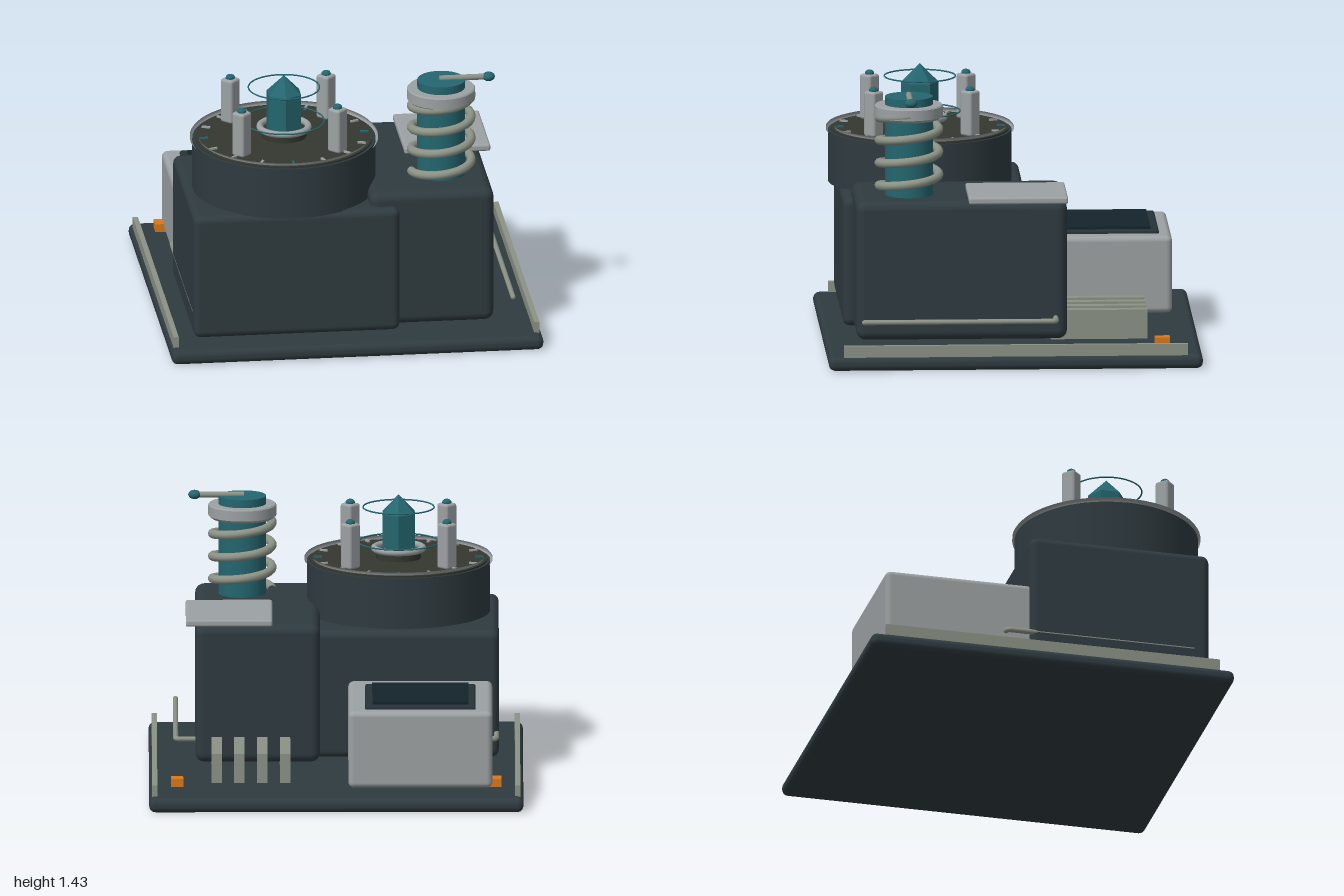
import * as THREE from 'three';
import { RoundedBoxGeometry } from 'three/addons/geometries/RoundedBoxGeometry.js';

const mat = (color, flatShading = false) => new THREE.MeshStandardMaterial({ color, flatShading });
const DARK = mat(0x2f3b40), OLIVE = mat(0x33382f), GREY = mat(0x9ca1a3), STEEL = mat(0x8b9285),
  TEAL = mat(0x24666f), CRYSTAL = mat(0x24666f, true), FRAME = mat(0x263238), SCREEN = mat(0x14242b), ORANGE = mat(0xd9781c);

function add(parent, name, geometry, material, x = 0, y = 0, z = 0) {
  const mesh = new THREE.Mesh(geometry, material);
  mesh.name = name;
  mesh.position.set(x, y, z);
  parent.add(mesh);
  return mesh;
}

// Box given by its limits on each axis, rounded when r > 0
function box(parent, name, material, [x0, x1], [y0, y1], [z0, z1], r = 0) {
  const size = [x1 - x0, y1 - y0, z1 - z0];
  const geometry = r ? new RoundedBoxGeometry(...size, 3, r) : new THREE.BoxGeometry(...size);
  return add(parent, name, geometry, material, (x0 + x1) / 2, (y0 + y1) / 2, (z0 + z1) / 2);
}

const lathe = (pts, n = 64) => new THREE.LatheGeometry(pts.map(p => new THREE.Vector2(...p)), n);
const ring = (r, t) => new THREE.TorusGeometry(r, t, 10, 64).rotateX(Math.PI / 2);

class Helix extends THREE.Curve {
  getPoint(t, target = new THREE.Vector3()) {
    const a = Math.PI + t * 3.5 * Math.PI * 2;
    return target.set(0.16 * Math.cos(a), 0.89 + 0.43 * t, -0.16 * Math.sin(a));
  }
}

// Drum with dial, posts and crystal, centred on its own axis
function createDrum() {
  const g = new THREE.Group();
  g.name = 'drum';
  add(g, 'drumWall', new THREE.CylinderGeometry(0.49, 0.49, 0.28, 64), DARK, 0, 0.935);
  add(g, 'dialPlate', new THREE.CylinderGeometry(0.475, 0.475, 0.02, 64), OLIVE, 0, 1.075);
  add(g, 'drumRim', lathe([[0.455, 1.07], [0.458, 1.09], [0.468, 1.102], [0.48, 1.106], [0.493, 1.102],
    [0.503, 1.09], [0.503, 1.075], [0.49, 1.062]]), GREY);

  // Dial ticks, coloured at the quarters
  for (let i = 0; i < 16; i++) {
    const a = i * Math.PI / 8, main = i % 4 === 0;
    const tick = add(g, 'dialTick', new THREE.BoxGeometry(0.012, 0.014, 0.045), main ? TEAL : GREY,
      0.432 * Math.sin(a), 1.088, 0.432 * Math.cos(a));
    tick.rotation.y = a;
  }

  // Corner posts with ball tips
  for (const sx of [-1, 1]) for (const sz of [-1, 1]) {
    const post = add(g, 'post', new RoundedBoxGeometry(0.08, 0.245, 0.08, 2, 0.014), GREY, sx * 0.258, 1.205, sz * 0.258);
    post.rotation.y = Math.PI / 4;
    const tip = add(g, 'postTip', new THREE.SphereGeometry(0.025, 16, 12), TEAL, sx * 0.258, 1.332, sz * 0.258);
    tip.scale.y = 0.75;
  }

  // Crystal in its socket with hoops around it
  add(g, 'crystalSocket', new THREE.CylinderGeometry(0.12, 0.12, 0.035, 48), OLIVE, 0, 1.1);
  add(g, 'socketRing', ring(0.13, 0.018), GREY, 0, 1.138);
  add(g, 'crystalBody', new THREE.CylinderGeometry(0.1, 0.1, 0.25, 6), CRYSTAL, 0, 1.205);
  add(g, 'crystalPoint', new THREE.ConeGeometry(0.1, 0.1, 6), CRYSTAL, 0, 1.38);
  add(g, 'lowerHoop', ring(0.215, 0.004), TEAL, 0, 1.172);
  add(g, 'upperHoop', ring(0.19, 0.004), TEAL, 0, 1.362);
  g.position.set(-0.335, 0, 0.457);
  return g;
}

// Coil column with collar and lever
function createCoilColumn() {
  const g = new THREE.Group();
  g.name = 'coilColumn';
  add(g, 'column', new THREE.CylinderGeometry(0.128, 0.128, 0.55, 48), TEAL, 0, 1.13);
  add(g, 'coil', new THREE.TubeGeometry(new Helix(), 220, 0.024, 10), STEEL);
  add(g, 'collar', lathe([[0.125, 1.285], [0.165, 1.285], [0.165, 1.285], [0.182, 1.3], [0.182, 1.3],
    [0.182, 1.355], [0.182, 1.355], [0.176, 1.362], [0.176, 1.362], [0.125, 1.362]]), GREY);
  const rod = add(g, 'leverRod', new THREE.CylinderGeometry(0.016, 0.016, 0.26, 16), STEEL, 0.12, 1.41);
  rod.rotation.z = Math.PI / 2;
  add(g, 'leverKnob', new THREE.SphereGeometry(0.034, 20, 14), TEAL, 0.255, 1.41).scale.y = 0.72;
  g.position.set(0.5, 0, 0.552);
  return g;
}

export function createModel() {
  const model = new THREE.Group();
  model.name = 'machine';

  // Base and main housings
  box(model, 'basePlate', DARK, [-1, 1], [0, 0.077], [-1, 1], 0.034);
  box(model, 'mainHousing', DARK, [-0.87, 0.24], [0.107, 0.8], [-0.093, 0.893], 0.04);
  box(model, 'sideHousing', DARK, [0.085, 0.752], [0.12, 0.872], [-0.285, 0.842], 0.05);
  box(model, 'coverPlate', GREY, [0.34, 0.803], [0.865, 0.903], [-0.287, 0.243], 0.012);

  // Console with screen
  box(model, 'consoleBody', GREY, [-0.835, -0.065], [0.11, 0.528], [-0.882, -0.05], 0.03);
  box(model, 'screenFrame', FRAME, [-0.745, -0.155], [0.5, 0.546], [-0.815, -0.235], 0.012);
  box(model, 'screen', SCREEN, [-0.707, -0.193], [0.53, 0.56], [-0.77, -0.28]);

  // Cooling fins
  for (let i = 0; i < 4; i++) {
    const x = 0.273 + i * 0.122;
    box(model, 'coolingFin', STEEL, [x - 0.028, x + 0.028], [0.107, 0.265], [-0.718, -0.2]);
  }

  // Mirrored rails, lamps and pipes
  for (const s of [-1, 1]) {
    add(model, 'sideRail', new THREE.BoxGeometry(0.028, 0.062, 1.84), STEEL, s * 0.97, 0.104, 0);
    add(model, 'lamp', new THREE.BoxGeometry(0.065, 0.044, 0.08), ORANGE, s * 0.85, 0.13, -0.788);
    const path = new THREE.CurvePath();
    const p = (x, z) => new THREE.Vector3(s * x, 0.24, z);
    path.add(new THREE.LineCurve3(p(0.7, -0.222), p(0.835, -0.222)));
    path.add(new THREE.QuadraticBezierCurve3(p(0.835, -0.222), p(0.857, -0.222), p(0.857, -0.2)));
    path.add(new THREE.LineCurve3(p(0.857, -0.2), p(0.857, 0.805)));
    const pipe = add(model, 'sidePipe', new THREE.TubeGeometry(path, 120, 0.014, 10), STEEL);
    pipe.material = STEEL;
    // Pipe end cap
    add(model, 'pipeEnd', new THREE.SphereGeometry(0.014, 12, 8), STEEL, s * 0.857, 0.24, 0.805);
  }

  model.add(createDrum(), createCoilColumn());
  return model;
}
